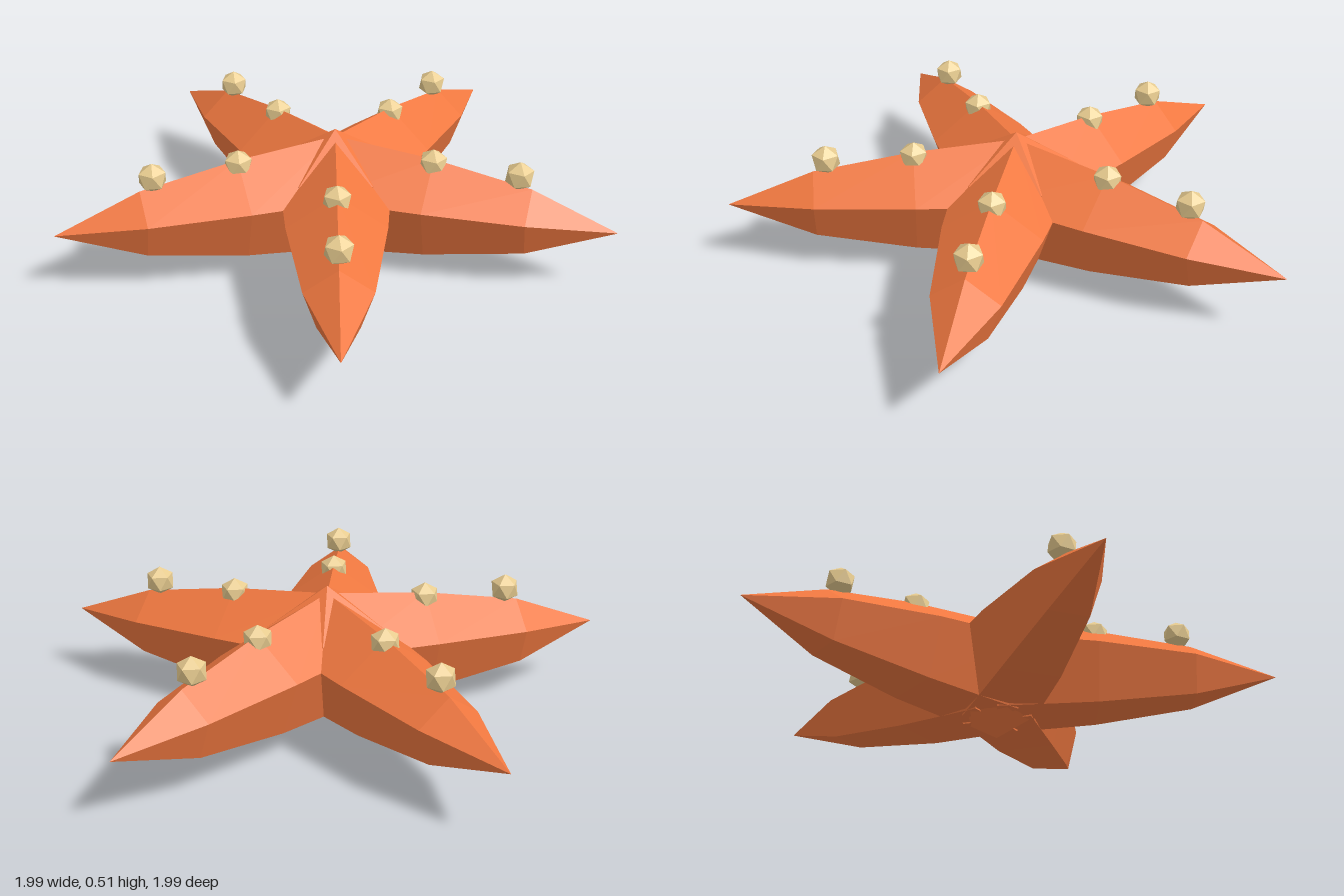
import * as THREE from 'three';

const CENTER_Y = 0.256;
const rad = THREE.MathUtils.degToRad;

// Icosahedron standing on one of its corners
function uprightIcosahedron(radius) {
  const g = new THREE.IcosahedronGeometry(radius, 0);
  g.rotateX(-Math.atan((1 + Math.sqrt(5)) / 2));
  return g;
}

export function createModel() {
  const skin = new THREE.MeshStandardMaterial({ color: 0xf07840, flatShading: true });
  const cream = new THREE.MeshStandardMaterial({ color: 0xe8cc90, flatShading: true });

  const starfish = new THREE.Group();
  starfish.name = 'starfish';
  starfish.position.set(0.05, 0, -0.05);

  // Central body, its corners lined up with the valleys between the arms
  const body = new THREE.Mesh(uprightIcosahedron(0.255), skin);
  body.name = 'body';
  body.position.y = CENTER_Y;
  body.rotation.y = rad(27);
  starfish.add(body);

  // Five-sided tapering arm, laid along +x with one ridge on top
  const profile = [[0, 0], [0.226, 0], [0.19, 0.375], [0.126, 0.74], [0, 1.058]];
  const armGeometry = new THREE.LatheGeometry(profile.map(([r, d]) => new THREE.Vector2(r, d)), 5);
  armGeometry.applyMatrix4(new THREE.Matrix4().makeBasis(
    new THREE.Vector3(0, 0, 1), new THREE.Vector3(1, 0, 0), new THREE.Vector3(0, 1, 0)));
  const bumpGeometry = uprightIcosahedron(0.056);

  for (let i = 0; i < 5; i++) {
    const angle = rad(27 + 72 * i);
    const arm = new THREE.Mesh(armGeometry, skin);
    arm.name = 'arm' + (i + 1);
    arm.position.y = CENTER_Y;
    arm.rotation.y = -angle;
    starfish.add(arm);

    // Two bumps along each ridge
    for (const [name, d] of [['innerBump', 0.373], ['outerBump', 0.69]]) {
      const bump = new THREE.Mesh(bumpGeometry, cream);
      bump.name = name + (i + 1);
      bump.position.set(Math.cos(angle) * d, 0.43, Math.sin(angle) * d);
      starfish.add(bump);
    }
  }

  const model = new THREE.Group();
  model.add(starfish);
  return model;
}
